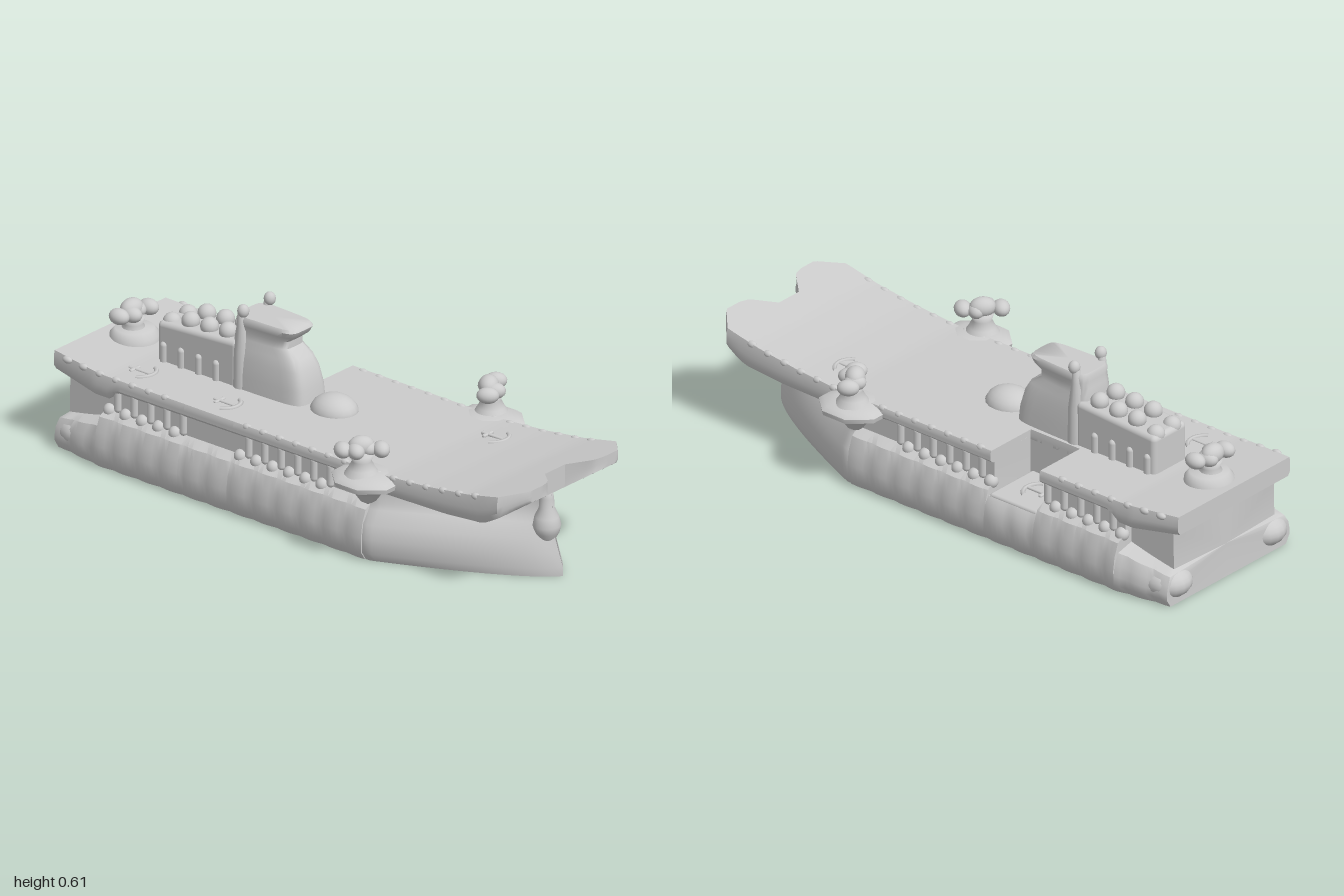
import * as THREE from 'three';
import { toCreasedNormals } from 'three/addons/utils/BufferGeometryUtils.js';
import { RoundedBoxGeometry } from 'three/addons/geometries/RoundedBoxGeometry.js';

const grey = new THREE.MeshStandardMaterial({ color: 0xcccccc });
const { lerp, clamp } = THREE.MathUtils;

// piecewise linear interpolation through [position, value] pairs
function along(table, t) {
  if (t <= table[0][0]) return table[0][1];
  for (let i = 1; i < table.length; i++) {
    const [a, va] = table[i - 1], [b, vb] = table[i];
    if (t <= b) return lerp(va, vb, (t - a) / (b - a));
  }
  return table[table.length - 1][1];
}

// closed skin over rings of [x, y, z], each counter-clockwise seen from the far end
function loft(rings, crease) {
  const n = rings[0].length, pos = rings.flat(2), index = [];
  for (let i = 0; i < rings.length - 1; i++) for (let j = 0; j < n; j++) {
    const a = i * n + j, b = i * n + (j + 1) % n;
    index.push(a, b, b + n, a, b + n, a + n);
  }
  [0, rings.length - 1].forEach((r, end) => {
    const c = pos.length / 3;
    for (let k = 0; k < 3; k++) pos.push(rings[r].reduce((s, p) => s + p[k], 0) / n);
    for (let j = 0; j < n; j++) {
      const a = r * n + j, b = r * n + (j + 1) % n;
      index.push(c, end ? a : b, end ? b : a);
    }
  });
  const g = new THREE.BufferGeometry();
  g.setAttribute('position', new THREE.Float32BufferAttribute(pos, 3));
  g.setIndex(index);
  return toCreasedNormals(g, crease);
}

function add(parent, name, geo, x = 0, y = 0, z = 0) {
  const m = new THREE.Mesh(geo, grey);
  m.name = name;
  m.position.set(x, y, z);
  parent.add(m);
  return m;
}
const ball = (r) => new THREE.SphereGeometry(r, 18, 12);
const lathe = (pts, sides = 28) => new THREE.LatheGeometry(pts.map(([r, y]) => new THREE.Vector2(r, y)), sides);

// one half of the hull section, keel to deck
function halfSection(z, side) {
  const bow = clamp((z - 0.4) / 0.55, 0, 1), aft = clamp((-0.76 - z) / 0.2, 0, 1);
  const narrow = Math.pow(1 - bow, 0.75), hollow = Math.pow(1 - bow, 1.05);
  const blister = z < 0.38;
  const scallop = blister ? 0.006 * Math.abs(Math.sin(z * Math.PI / 0.1)) : 0;
  const w = (0.334 + scallop) * narrow * lerp(1, 0.9, aft);
  const top = z < -0.76 ? 0.25 : blister ? 0.278 : 0.288 * hollow;
  const low = z < -0.76 ? lerp(0.8, 0.6, aft) : 1;
  let p = [[w * 0.94, 0], [w, 0.03], [w, 0.08 * low], [w * 0.98, 0.13 * low],
    [blister ? w * 0.93 : lerp(w * 0.92, top, 0.5), 0.175 * low],
    [blister ? top : lerp(w * 0.88, top, 0.8), 0.195 * low], [top, 0.24], [top, 0.29]];
  // lowered lift well on one side
  if (side > 0 && z < -0.2 && z > -0.41) p = [...p.slice(0, 4), [0.31, 0.155], [0.1, 0.155], [0.1, 0.22], [0.1, 0.29]];
  return p.map(([x, y]) => {
    const rake = along([[0, 0], [0.03, 0], [0.1, 0.025], [0.2, 0.06], [0.25, 0.07], [0.29, 0.05]], y) * bow;
    return [side * x, y, z - rake + aft * along([[0.1, 0], [0.14, 0.04], [0.29, 0.01]], y)];
  });
}

function hullGeometry() {
  const stations = [-0.2005, -0.1995, -0.4105, -0.4095, -0.7605, -0.7595, 0.3795, 0.3805];
  for (let i = 0; i <= 96; i++) stations.push(lerp(-0.96, 0.955, i / 96));
  stations.sort((a, b) => a - b);
  return loft(stations.map((z) => {
    const r = halfSection(z, 1), l = halfSection(z, -1).reverse();
    return [[0, 0, z], ...r, [0, 0.29, r[7][2]], ...l];
  }), 0.7);
}

// flight deck: heights and plan follow these rules
const deckTop = (z) => along([[-0.985, 0.332], [-0.75, 0.315], [0.45, 0.31], [0.62, 0.322], [0.8, 0.345], [1, 0.387]], z);
const deckUnder = (z) => along([[-0.985, 0.265], [-0.8, 0.235], [-0.74, 0.235], [-0.7, 0.265], [0.25, 0.268],
  [0.42, 0.24], [0.7, 0.245], [0.86, 0.258], [0.92, 0.29], [1, 0.345]], z);
const deckHalf = (z) => along([[-0.985, 0.28], [-0.8, 0.3], [0.92, 0.3], [1, 0.29]], z);
const bowEdge = (x) => along([[0, 0.92], [0.05, 0.92], [0.12, 0.99], [0.16, 1], [0.23, 1], [0.3, 0.93]], Math.abs(x));

function deckPiece(x0, x1, z0, z1) {
  const g = new THREE.BoxGeometry(1, 1, 1, 48, 4, 40), p = g.attributes.position;
  for (let i = 0; i < p.count; i++) {
    const x = lerp(x0, x1, p.getX(i) + 0.5), t = p.getZ(i) + 0.5, v = p.getY(i);
    const z = lerp(z0, Math.min(z1, bowEdge(x)), t);
    const inset = v < -0.4 ? 0.96 : v > 0.4 ? 0.985 : 1;
    p.setXYZ(i, x * inset * deckHalf(z) / 0.3, lerp(deckUnder(z), deckTop(z), v + 0.5), z);
  }
  return toCreasedNormals(g, 0.75);
}

// gun cluster on a flared stem
function turret(name, x, y, z, turn) {
  const g = new THREE.Group();
  g.name = name;
  g.position.set(x, y, z);
  g.rotation.y = turn;
  add(g, 'turretStem', lathe([[0.062, -0.015], [0.045, 0.01], [0.032, 0.035], [0.04, 0.06], [0, 0.08]]));
  [-0.062, -0.022, 0.022, 0.062].forEach((d, i) =>
    add(g, 'gunLobe', ball(0.034), d, 0.075, i % 2 ? 0.012 : -0.008).scale.set(0.85, 0.8, 1.1));
  add(g, 'turretCap', ball(0.034), 0, 0.085, -0.008).scale.x = 1.3;
  return g;
}

// rounded rectangle ring for the bridge tower
function towerRing([y, hx, front, back, taper]) {
  const sq = (v) => Math.sign(v) * Math.pow(Math.abs(v), 0.4);
  return Array.from({ length: 32 }, (_, i) => {
    const a = i / 32 * Math.PI * 2;
    const t = (sq(Math.cos(a)) + 1) / 2;
    return [hx * lerp(1, taper, t) * sq(Math.sin(a)), y, lerp(back, front, t)];
  });
}

function island() {
  const g = new THREE.Group();
  g.name = 'island';
  add(g, 'bridgeTower', loft([
    [0.29, 0.09, -0.105, -0.41, 0.9], [0.36, 0.088, -0.112, -0.41, 0.87], [0.42, 0.084, -0.128, -0.41, 0.82],
    [0.455, 0.08, -0.148, -0.41, 0.76], [0.485, 0.074, -0.19, -0.408, 0.74], [0.51, 0.07, -0.19, -0.405, 0.74],
    [0.532, 0.075, -0.162, -0.4, 0.8], [0.552, 0.077, -0.152, -0.4, 0.85],
    [0.562, 0.07, -0.16, -0.395, 0.85]].map(towerRing), 0.9));
  // stepped block abaft the bridge
  const block = new RoundedBoxGeometry(0.165, 0.19, 0.34, 4, 0.018), p = block.attributes.position;
  for (let i = 0; i < p.count; i++) if (p.getY(i) > 0) p.setY(i, p.getY(i) + 0.06 * p.getZ(i));
  add(g, 'rearBlock', block, 0, 0.365, -0.545);
  for (const s of [-1, 1]) {
    add(g, 'mast', lathe([[0.03, 0.29], [0.027, 0.44], [0.016, 0.53], [0.013, 0.575], [0, 0.58]], 14), s * 0.064, 0, -0.365);
    add(g, 'mastHead', ball(0.02), s * 0.066, 0.583, -0.358).scale.y = 1.15;
    [0.478, 0.472, 0.468, 0.442].forEach((y, i) => {
      add(g, 'roofDome', ball(0.031), s * 0.04, y, -0.445 - 0.08 * i);
      add(g, 'sideRib', new THREE.CapsuleGeometry(0.014, 0.06, 4, 10), s * 0.08, 0.34, -0.46 - 0.075 * i);
    });
  }
  return g;
}

// small raised anchor shape on the deck
function anchorRelief(x, y, z) {
  const g = new THREE.Group();
  g.name = 'anchorRelief';
  g.position.set(x, y, z);
  add(g, 'shank', new RoundedBoxGeometry(0.014, 0.012, 0.1, 2, 0.005), 0, 0, -0.01);
  add(g, 'stock', new RoundedBoxGeometry(0.05, 0.012, 0.014, 2, 0.005), 0, 0, -0.035);
  add(g, 'flukes', new THREE.TorusGeometry(0.055, 0.008, 6, 16, Math.PI * 0.7), 0, 0, -0.015)
    .rotation.set(Math.PI / 2, 0, Math.PI * 0.15);
  return g;
}

export function createModel() {
  const ship = new THREE.Group();
  ship.name = 'ship';
  add(ship, 'hull', hullGeometry());

  add(ship, 'foreDeck', deckPiece(-0.3, 0.3, -0.2, 1));
  add(ship, 'midDeck', deckPiece(-0.3, 0.1, -0.41, -0.2));
  add(ship, 'aftDeck', deckPiece(-0.3, 0.3, -0.985, -0.41));

  // figurehead on the stem, tapering downwards
  add(ship, 'figurehead', lathe([[0, 0.08], [0.02, 0.1], [0.042, 0.14], [0.048, 0.165], [0.04, 0.195],
    [0.026, 0.225], [0.024, 0.26], [0.018, 0.29], [0, 0.3]]), 0, 0, 0.885);

  for (const s of [-1, 1]) {
    // gun platforms and their turrets
    const platform = lathe([[0, 0.19], [0.025, 0.205], [0.045, 0.235], [0.08, 0.258], [0.113, 0.272],
      [0.116, 0.288], [0.1, 0.3], [0.06, 0.312], [0, 0.314]], 8);
    platform.rotateY(Math.PI / 8);
    add(ship, 'sponson', toCreasedNormals(platform, 0.9), s * 0.301, 0, 0.378).scale.z = 1.1;
    ship.add(turret('bowTurret', s * 0.322, 0.315, 0.37, s * 0.66));

    // gallery posts, portholes and deck edge bumps, clear of the lift
    for (let z = 0.2; z > -0.74; z -= 0.07) {
      if (z < -0.18 && z > -0.43) continue;
      add(ship, 'galleryPost', new THREE.CapsuleGeometry(0.014, 0.06, 4, 10), s * 0.279, 0.235, z);
      add(ship, 'porthole', ball(0.024), s * 0.278, 0.19, z - 0.035);
    }
    for (let z = -0.92; z < 0.9; z += 0.07) {
      if (z < -0.18 && z > -0.43) continue;
      add(ship, 'edgeBump', ball(0.012), s * 0.288, deckTop(z) - 0.007, z).scale.z = 1.6;
    }
    // rounded ends of the side bulges
    add(ship, 'sternBulge', ball(1), s * 0.235, 0.062, -0.9).scale.set(0.08, 0.058, 0.088);
  }

  add(ship, 'deckDome', ball(1), -0.005, 0.305, -0.02).scale.set(0.075, 0.06, 0.085);
  ship.add(island());

  // stern turret on its round base
  add(ship, 'sternTurretBase', lathe([[0.085, 0.31], [0.082, 0.335], [0.065, 0.355], [0, 0.362]]), -0.005, 0, -0.875);
  ship.add(turret('sternTurret', -0.008, 0.335, -0.878, 0));

  // lift platform and deck reliefs
  add(ship, 'liftPlatform', new RoundedBoxGeometry(0.22, 0.025, 0.205, 3, 0.01), 0.2, 0.152, -0.305);
  ship.add(anchorRelief(0.16, 0.316, 0.53), anchorRelief(-0.19, 0.314, -0.68),
    anchorRelief(-0.2, 0.313, -0.31), anchorRelief(0.2, 0.166, -0.31));
  return ship;
}
